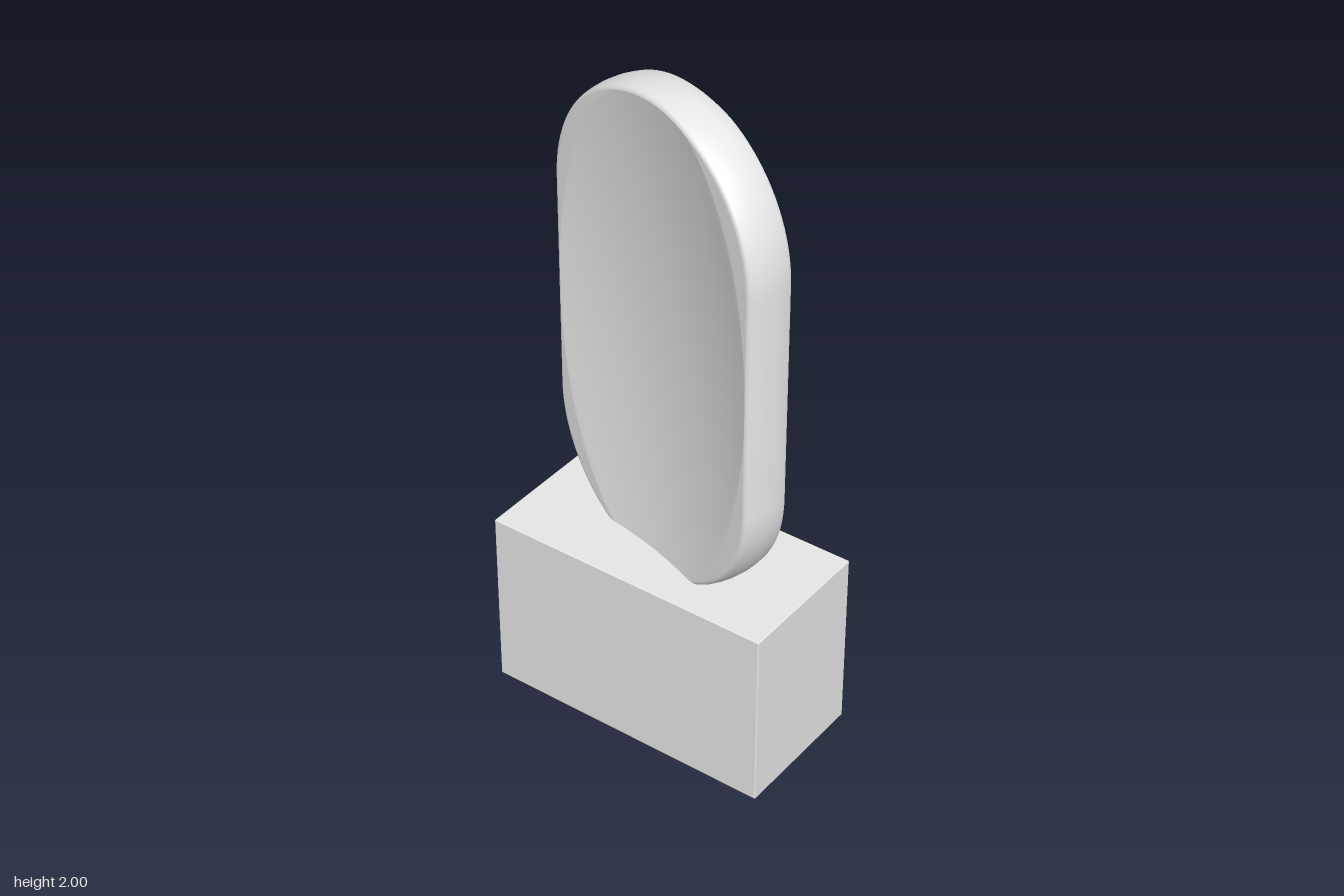
import * as THREE from 'three';
import { RoundedBoxGeometry } from 'three/addons/geometries/RoundedBoxGeometry.js';

const RADIUS = 0.408;      // half width of the slab
const STRAIGHT = 0.332;    // half length of its straight sides
const HALF_DEPTH = 0.07;
const DISH = 0.056;        // depth of the hollow in each face
const LIP = 0.02;          // inset where the rim meets the face
const HOLLOW_A = 0.388, HOLLOW_B = 0.748;   // half axes of the hollow

// Capsule outline, counter-clockwise, inset by a distance
function outline(inset) {
  const r = RADIUS - inset, pts = [], arc = 48, side = 20;
  for (const s of [1, -1]) {
    for (let i = 0; i < arc; i++) {
      const a = Math.PI * i / arc;
      pts.push([s * r * Math.cos(a), s * (STRAIGHT + r * Math.sin(a))]);
    }
    for (let i = 0; i < side; i++) pts.push([-s * r, s * STRAIGHT * (1 - 2 * i / side)]);
  }
  return pts;
}

const ellipse = (x, y) => (x / HOLLOW_A) ** 2 + (y / HOLLOW_B) ** 2;
const faceZ = (x, y) => HALF_DEPTH - DISH * Math.max(0, 1 - ellipse(x, y));

// Slab with a rounded rim and an elliptical hollow on both faces
function dishedSlab() {
  const lip = outline(LIP), half = [];
  // Hollow, ending on its elliptical edge
  const edge = lip.map(([x, y]) => Math.min(0.985, 1 / Math.sqrt(ellipse(x, y))));
  const faceRing = (scale) => lip.map(([x, y], j) => {
    const px = x * scale(edge[j]), py = y * scale(edge[j]);
    return [px, py, faceZ(px, py)];
  });
  const steps = 24;
  for (let i = 0; i <= steps; i++) half.push(faceRing((e) => e * i / steps));
  // Flat crescents between the hollow and the rim
  for (const t of [0.12, 0.5, 0.9, 1]) half.push(faceRing((e) => e + (1 - e) * t));
  // Bulging rim
  for (const [inset, z] of [[0.015, 0.975], [0.011, 0.92], [0.008, 0.82], [0.004, 0.55], [0.001, 0.25]]) {
    half.push(outline(inset).map(([x, y], j) => [x, y, z * faceZ(...lip[j])]));
  }
  const back = half.map((ring) => ring.map(([x, y, z]) => [x, y, -z])).reverse();
  const rings = [...half, ...back];

  const n = lip.length, index = [];
  for (let i = 0; i < rings.length - 1; i++) {
    for (let j = 0; j < n; j++) {
      const k = (j + 1) % n;
      const p = i * n + j, q = i * n + k, r = p + n, t = q + n;
      index.push(p, r, t, p, t, q);
    }
  }
  const geo = new THREE.BufferGeometry();
  geo.setAttribute('position', new THREE.Float32BufferAttribute(rings.flat(2), 3));
  geo.setIndex(index);
  geo.computeVertexNormals();
  return geo;
}

export function createModel() {
  const group = new THREE.Group();
  const stone = new THREE.MeshStandardMaterial({ color: 0xe6e6e6 });
  stone.name = 'paleGrey';
  const dark = new THREE.MeshStandardMaterial({ color: 0x404042 });
  dark.name = 'charcoal';

  const add = (name, geo, mat, y) => {
    const mesh = new THREE.Mesh(geo, mat);
    mesh.name = name;
    mesh.position.y = y;
    group.add(mesh);
    return mesh;
  };

  // Recessed foot, block and the turned slab sunk into it
  add('foot', new THREE.BoxGeometry(0.85, 0.03, 0.39), dark, 0.015);
  add('baseBlock', new RoundedBoxGeometry(0.894, 0.559, 0.433, 2, 0.004), stone, 0.3035);
  add('dishedSlab', dishedSlab(), stone, 1.26).rotation.y = -THREE.MathUtils.degToRad(15.3);
  return group;
}
